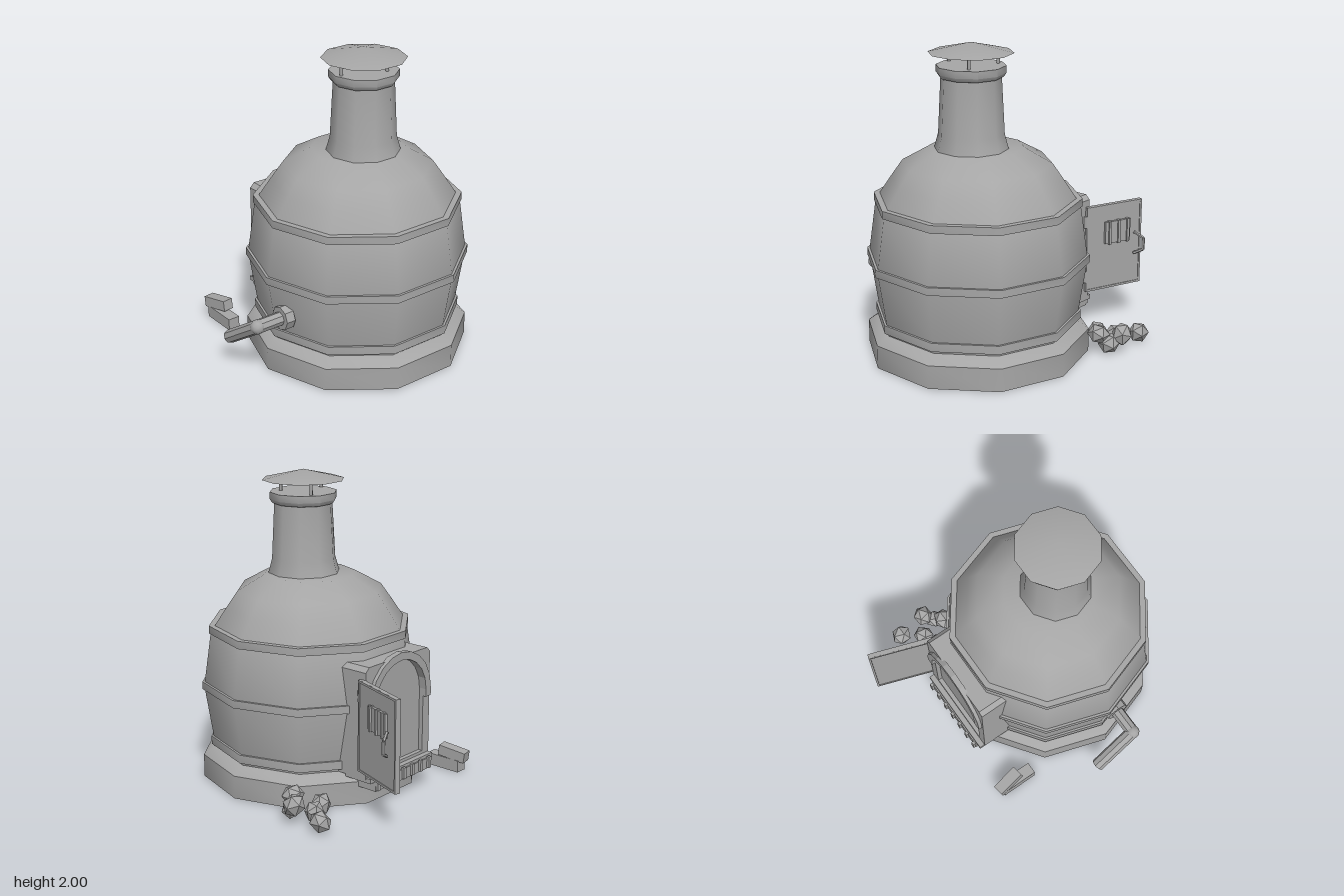
import * as THREE from 'three';
import { toCreasedNormals } from 'three/addons/utils/BufferGeometryUtils.js';

export function createModel() {
  const root = new THREE.Group();
  const iron = new THREE.MeshStandardMaterial({ color: 0xa6a6a6 });
  iron.name = 'greyIron';
  const CX = 0.045; // shared centre line of drum, chimney and mouth

  function add(name, geometry, x = 0, y = 0, z = 0, parent = root) {
    const m = new THREE.Mesh(geometry, iron);
    m.name = name;
    m.position.set(x, y, z);
    parent.add(m);
    return m;
  }
  const box = (name, w, h, d, x, y, z, parent) =>
    add(name, new THREE.BoxGeometry(w, h, d), x, y, z, parent);

  // Ten-sided turned part, corners on the +x and -x sides
  function turned(name, profile, z) {
    const pts = profile.map(([r, y]) => new THREE.Vector2(r, y));
    const g = new THREE.LatheGeometry(pts, 10, Math.PI / 10);
    return add(name, toCreasedNormals(g, 0.72), CX, 0, z);
  }
  // Straight faceted rod between two points
  function rod(name, a, b, r, sides, parent = root) {
    const dir = b.clone().sub(a);
    const g = toCreasedNormals(new THREE.CylinderGeometry(r, r, dir.length(), sides), 0.4);
    const m = add(name, g, 0, 0, 0, parent);
    m.position.copy(a).add(b).multiplyScalar(0.5);
    m.quaternion.setFromUnitVectors(new THREE.Vector3(0, 1, 0), dir.normalize());
    return m;
  }
  const V = (x, y, z) => new THREE.Vector3(x, y, z);

  // Drum: plinth, barrel, dome and three hoops
  const Z = 0.21;
  turned('plinth', [[0, 0], [0.715, 0], [0.715, 0.15], [0.645, 0.2], [0, 0.2]], Z);
  turned('barrel', [[0.635, 0.19], [0.648, 0.28], [0.7, 0.62], [0.65, 0.97], [0.63, 1.01]], Z);
  turned('dome', [[0.63, 1.0], [0.622, 1.02], [0.545, 1.135], [0.472, 1.24], [0.295, 1.34], [0, 1.34]], Z);
  for (const [y0, y1, r] of [[0.22, 0.275, 0.662], [0.6, 0.65, 0.712], [0.97, 1.02, 0.66]]) {
    turned('hoop', [[r - 0.05, y0], [r, y0], [r, y1], [r - 0.05, y1]], Z);
  }

  // Chimney with collar, posts and rain cap
  const CZ = 0.262;
  turned('chimney', [[0.235, 1.33], [0.207, 1.43], [0.188, 1.8]], CZ);
  turned('chimneyCollar',
    [[0.18, 1.785], [0.2, 1.79], [0.217, 1.815], [0.217, 1.86], [0, 1.86]], CZ);
  for (const [x, z] of [[-0.135, 0.27], [0.133, 0.375], [0.133, 0.115]]) {
    add('capPost', new THREE.CylinderGeometry(0.011, 0.011, 0.1, 6), x, 1.9, z);
  }
  turned('rainCap', [[0, 1.937], [0.265, 1.937], [0, 2.0]], CZ);

  // Fire mouth at the back
  const mouth = new THREE.Group();
  mouth.name = 'fireMouth';
  mouth.position.x = CX;
  root.add(mouth);
  const shell = new THREE.Shape([
    [-0.315, 0.2], [0.315, 0.2], [0.315, 0.885], [0.285, 0.915], [-0.285, 0.915], [-0.315, 0.885],
  ].map(([x, y]) => new THREE.Vector2(x, y)));
  add('mouthBlock', new THREE.ExtrudeGeometry(shell, { depth: 0.29, bevelEnabled: false }), 0, 0, -0.5, mouth);

  // Face plate with arched opening
  const plate = shell.clone();
  const hole = new THREE.Path();
  hole.moveTo(-0.25, 0.23);
  hole.lineTo(0.25, 0.23);
  hole.lineTo(0.25, 0.65);
  hole.absarc(0, 0.65, 0.25, 0, Math.PI, false);
  hole.lineTo(-0.25, 0.23);
  plate.holes.push(hole);
  add('mouthPlate', new THREE.ExtrudeGeometry(plate, { depth: 0.03, bevelEnabled: false, curveSegments: 5 }),
    0, 0, -0.529, mouth);

  // Raised arch moulding
  const arch = new THREE.Shape();
  arch.moveTo(0.3, 0.6);
  arch.lineTo(0.3, 0.65);
  arch.absarc(0, 0.65, 0.3, 0, Math.PI, false);
  arch.lineTo(-0.3, 0.6);
  arch.lineTo(-0.25, 0.6);
  arch.lineTo(-0.25, 0.65);
  arch.absarc(0, 0.65, 0.25, Math.PI, 0, true);
  arch.lineTo(0.25, 0.6);
  add('archMoulding', new THREE.ExtrudeGeometry(arch, { depth: 0.04, bevelEnabled: false, curveSegments: 5 }),
    0, 0, -0.553, mouth);

  // Sill with a row of teeth
  box('sill', 0.62, 0.03, 0.2, 0, 0.195, -0.465, mouth);
  box('sillApron', 0.54, 0.07, 0.15, 0, 0.155, -0.5, mouth);
  for (let i = -3; i <= 3; i++) {
    box('sillTooth', 0.025, 0.075, 0.02, i * 0.085, 0.165, -0.582, mouth);
  }

  // Open door, swung out on its hinge
  const door = new THREE.Group();
  door.name = 'door';
  door.position.set(0.365, 0, -0.49);
  door.rotation.y = 1.238;
  root.add(door);
  box('doorPanel', 0.43, 0.585, 0.024, 0.215, 0.548, 0, door);
  for (const y of [0.262, 0.833]) box('doorRim', 0.43, 0.014, 0.034, 0.215, y, 0, door);
  for (const x of [0.007, 0.423]) box('doorRim', 0.014, 0.585, 0.034, x, 0.548, 0, door);
  box('doorVent', 0.195, 0.15, 0.02, 0.235, 0.648, 0.02, door);
  for (const x of [0.17, 0.24, 0.31]) box('ventRib', 0.018, 0.16, 0.034, x, 0.648, 0.024, door);
  for (const y of [0.36, 0.74]) {
    add('hinge', new THREE.CylinderGeometry(0.018, 0.018, 0.08, 6), 0, y, 0, door);
  }
  const grip = [V(0.515, 0.625, -0.82), V(0.575, 0.59, -0.845), V(0.575, 0.51, -0.845), V(0.515, 0.475, -0.82)];
  for (let i = 0; i < 3; i++) rod('doorHandle', grip[i], grip[i + 1], 0.011, 6);

  // Bent side pipe with mounting flange
  const elbow = V(-0.81, 0.4, 0.31);
  rod('pipeFlange', V(-0.642, 0.4, 0.31), V(-0.58, 0.4, 0.31), 0.078, 8);
  rod('pipeArm', V(-0.6, 0.4, 0.31), elbow, 0.044, 8);
  rod('pipeSpout', elbow, V(-0.825, 0.205, 0.02), 0.044, 8);
  add('pipeElbow', new THREE.IcosahedronGeometry(0.047, 1), elbow.x, elbow.y, elbow.z);

  // Stacked bricks
  box('brick', 0.08, 0.08, 0.25, -0.555, 0.04, -0.465);
  const topBrick = box('brick', 0.075, 0.07, 0.19, -0.55, 0.117, -0.53);
  topBrick.rotation.set(-0.15, 0.16, 0);

  // Loose coal lumps
  const lumps = [
    [0.69, 0.125, -0.23, 0.07], [0.58, 0.065, -0.36, 0.07], [0.69, 0.065, -0.405, 0.068],
    [0.795, 0.12, -0.335, 0.072], [0.78, 0.065, -0.535, 0.07], [0.745, 0.065, -0.27, 0.068],
  ];
  lumps.forEach(([x, y, z, r], i) => {
    const lump = add('coal', new THREE.IcosahedronGeometry(r, 0), x, y, z);
    lump.rotation.set(i * 0.9, i * 1.7, i * 0.5);
    lump.scale.set(1.08, 0.92, 1);
  });

  return root;
}
